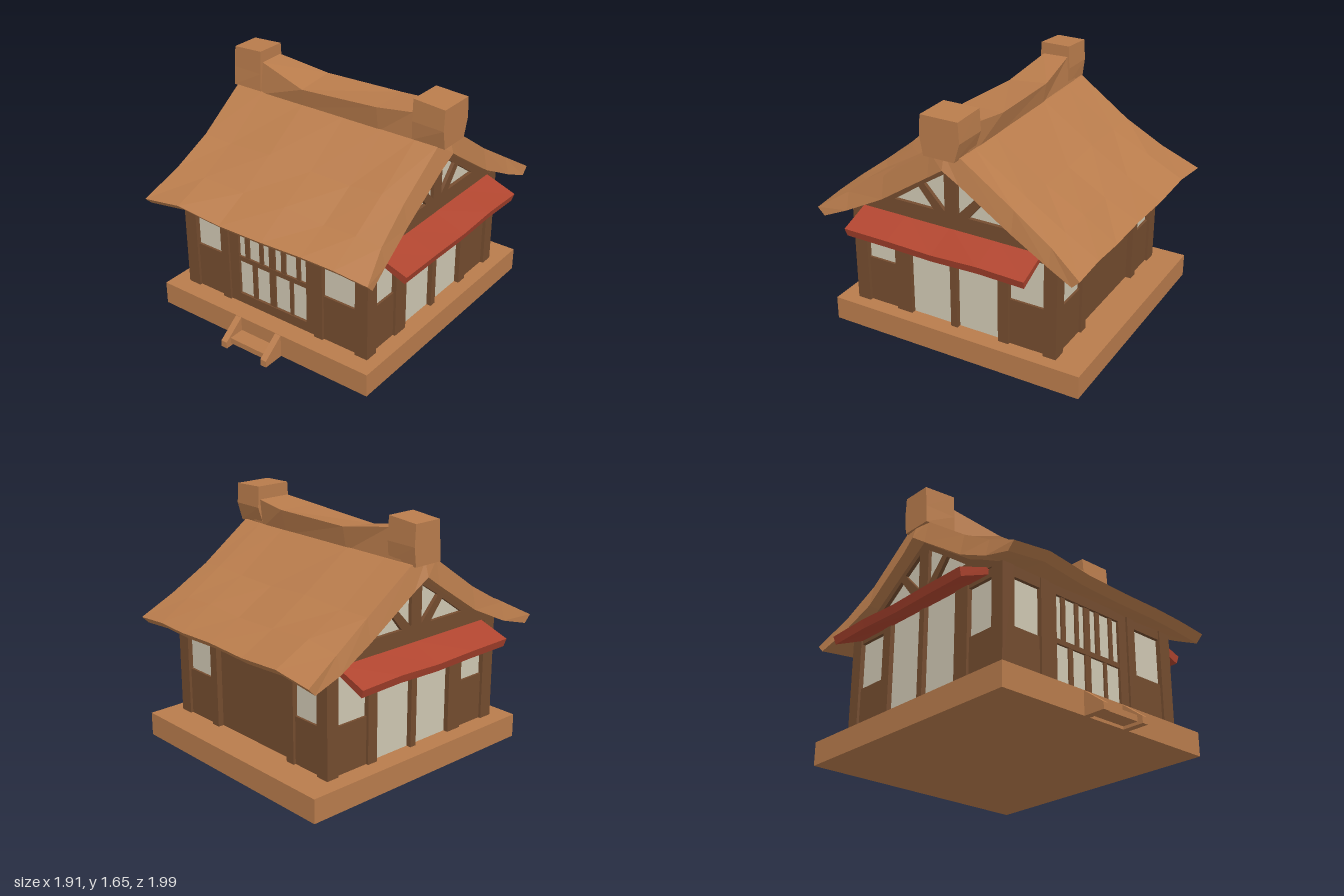
import * as THREE from 'three';

const mat = (name, color) => Object.assign(new THREE.MeshStandardMaterial({ color }), { name });

export function createModel() {
  const wood = mat('darkWood', 0x744c2f);
  const straw = mat('lightBrown', 0xb97c4c);
  const paper = mat('paper', 0xd0c8b3);
  const red = mat('redAwning', 0xb0452f);
  const model = new THREE.Group();
  model.name = 'cottage';

  const add = (name, geo, material) => {
    const mesh = new THREE.Mesh(geo, material);
    mesh.name = name;
    model.add(mesh);
    return mesh;
  };
  // Box given by its limits on each axis
  const box = (name, material, xa, xb, ya, yb, za, zb) => {
    const geo = new THREE.BoxGeometry(Math.abs(xb - xa), yb - ya, Math.abs(zb - za));
    add(name, geo.translate((xa + xb) / 2, (ya + yb) / 2, (za + zb) / 2), material);
  };
  // Faceted solid through loops ordered by rising x; each loop runs over the top to the back, then returns below
  const loft = (name, material, loops) => {
    const pos = [];
    const quad = (a, b, c, d) => [a, b, c, a, c, d].forEach(p => pos.push(...p));
    const m = loops[0].length, last = loops[loops.length - 1], first = loops[0];
    for (let i = 0; i < loops.length - 1; i++) {
      for (let j = 0; j < m; j++) {
        const k = (j + 1) % m;
        quad(loops[i][j], loops[i + 1][j], loops[i + 1][k], loops[i][k]);
      }
    }
    for (let j = 0; j < m / 2 - 1; j++) {
      quad(last[j], last[m - 1 - j], last[m - 2 - j], last[j + 1]);
      quad(first[j], first[j + 1], first[m - 2 - j], first[m - 1 - j]);
    }
    const geo = new THREE.BufferGeometry();
    geo.setAttribute('position', new THREE.Float32BufferAttribute(pos, 3));
    geo.computeVertexNormals();
    add(name, geo, material);
  };
  const polygon = pts => pts.map(p => new THREE.Vector2(...p));
  // Outline in (z, y) extruded along x, ending at xMax
  const slab = (name, material, pts, xMax, depth, holes = []) => {
    const shape = new THREE.Shape(polygon(pts));
    holes.forEach(h => shape.holes.push(new THREE.Path(polygon(h))));
    const geo = new THREE.ExtrudeGeometry(shape, { depth, bevelEnabled: false });
    add(name, geo.rotateY(-Math.PI / 2).translate(xMax, 0, 0), material);
  };

  // Platform and front step
  box('platform', straw, -0.85, 0.83, 0, 0.16, -0.95, 0.85);
  const rail = [[0.85, 0], [1, 0], [1, 0.045], [0.85, 0.158]];
  slab('stepRail', straw, rail, -0.17, 0.045);
  slab('stepRail', straw, rail, 0.16, 0.045);
  box('stepTread', straw, -0.17, 0.115, 0.02, 0.06, 0.85, 0.96);

  // Wall core and corner posts
  box('wallCore', wood, -0.7, 0.7, 0.16, 0.87, -0.71, 0.69);
  for (const [xa, xb] of [[-0.74, -0.645], [0.65, 0.745]]) {
    box('cornerPost', wood, xa, xb, 0.16, 0.87, 0.635, 0.73);
    box('cornerPost', wood, xa, xb, 0.16, 0.87, -0.75, -0.66);
  }

  // Front and back walls: posts, lower panels, windows, lintel
  for (const [s, face] of [[1, 0.69], [-1, -0.71]]) {
    const at = d => face + s * d;
    for (const [xa, xb] of [[-0.43, -0.365], [0.335, 0.4]])
      box('wallPost', wood, xa, xb, 0.16, 0.87, face, at(0.04));
    for (const [xa, xb] of [[-0.645, -0.43], [0.4, 0.65]]) {
      box('lowerPanel', wood, xa, xb, 0.16, 0.48, face, at(0.022));
      box('window', paper, xa, xb, 0.48, 0.8, face, at(0.006));
      box('lintel', wood, xa, xb, 0.795, 0.87, face, at(0.03));
    }
  }

  // Lattice doors on the front
  box('doorPaper', paper, -0.29, 0.265, 0.23, 0.81, 0.69, 0.696);
  box('doorSill', wood, -0.365, 0.335, 0.16, 0.23, 0.69, 0.715);
  box('doorHead', wood, -0.365, 0.335, 0.805, 0.87, 0.69, 0.715);
  box('doorJamb', wood, -0.365, -0.29, 0.23, 0.81, 0.69, 0.715);
  box('doorJamb', wood, 0.265, 0.335, 0.23, 0.81, 0.69, 0.715);
  box('doorRail', wood, -0.29, 0.265, 0.482, 0.515, 0.69, 0.711);
  for (const [xa, xb] of [[-0.24, -0.205], [-0.12, -0.09], [-0.04, 0.008], [0.06, 0.095], [0.183, 0.213]])
    box('upperBar', wood, xa, xb, 0.51, 0.81, 0.69, 0.708);
  for (const [xa, xb] of [[-0.182, -0.147], [-0.04, 0.008], [0.126, 0.152]])
    box('lowerBar', wood, xa, xb, 0.23, 0.485, 0.69, 0.708);

  // Side walls, gables and awnings
  const gable = [[0.72, 0.86], [0.46, 1.02], [-0.01, 1.33], [-0.48, 1.02], [-0.74, 0.86]];
  const mirrorZ = pts => pts.map(([z, y]) => [-0.03 - z, y]);
  const outerPane = [[0.4, 0.97], [0.215, 1.1], [0.11, 0.97]];
  const innerPane = [[0.03, 1.225], [0.175, 1.13], [0.03, 0.975]];
  const panes = [outerPane, innerPane, mirrorZ(outerPane), mirrorZ(innerPane)];
  for (const s of [-1, 1]) {
    const face = s * 0.7;
    for (const [za, zb] of [[0.305, 0.42], [-0.042, 0.005], [-0.415, -0.34]])
      box('sidePost', wood, face, s * 0.74, 0.16, 0.87, za, zb);
    for (const [za, zb] of [[0.42, 0.635], [-0.66, -0.415]]) {
      box('sidePanel', wood, face, s * 0.722, 0.16, 0.48, za, zb);
      box('sideWindow', paper, face, s * 0.706, 0.48, 0.8, za, zb);
      box('sideLintel', wood, face, s * 0.73, 0.8, 0.87, za, zb);
    }
    for (const [za, zb] of [[0.005, 0.305], [-0.34, -0.042]])
      box('sideDoor', paper, face, s * 0.706, 0.16, 0.85, za, zb);
    slab('gablePaper', paper, gable, s > 0 ? 0.715 : -0.706, 0.009);
    slab('gableFrame', wood, gable, s > 0 ? 0.74 : -0.715, 0.025, panes);

    const [zf, zb] = s > 0 ? [0.64, -0.64] : [0.6, -0.67];
    const strip = (xTop, yTop, xLow, yLow, wave) => {
      const top = [], low = [];
      for (let i = 0; i <= 4; i++) {
        const z = zf + (zb - zf) * i / 4, w = wave * Math.sin(i * 2.3 + 0.6);
        top.push([s * xTop, yTop + w, z]);
        low.unshift([s * xLow, yLow + w * 0.8, z * 0.99]);
      }
      return [...top, ...low];
    };
    const loops = [strip(0.72, 0.875, 0.72, 0.83, 0), strip(0.955, 0.79, 0.938, 0.737, 0.007)];
    loft('awning', red, s > 0 ? loops : loops.reverse());
  }

  // Thatched roof: sagging, flared slopes with uneven eaves
  const topLine = [[0.955, 0.875], [0.72, 0.995], [0.46, 1.14], [0.11, 1.385], [0, 1.4]];
  const lowLine = [[0.905, 0.825], [0.72, 0.875], [0.46, 0.99], [0.11, 1.225], [0, 1.3]];
  const both = half => [...half, ...half.slice(0, 4).reverse().map(([z, y]) => [-z, y])];
  const stations = [-1, -0.72, -0.3, 0.12, 0.5, 0.8, 1];
  const eaveLift = [-0.02, 0.012, 0, -0.015, -0.02, -0.005, -0.035];
  const flare = [0.075, 0.025, 0, 0.005, 0.015];
  const roofLoops = stations.map((u, i) => {
    const end = Math.abs(u) === 1;
    const point = low => ([z, y], j) => {
      const k = Math.min(j, 8 - j), out = Math.max(0, 1 - k / 2);
      const spread = end ? flare[k] + (low && k > 0 ? 0.03 : 0) : 0;
      const bump = k < 3 && !end ? 0.012 * Math.sin(i * 2.1 + j * 1.7) : 0;
      return [u * (0.79 + spread) + (k === 0 && end ? 0.006 : 0),
        y + eaveLift[i] * out + bump,
        z - 0.02 + (k === 0 ? -0.022 * u * Math.sign(z) * (z > 0 ? 1 : 0.9) : 0)];
    };
    return [...both(topLine).map(point(false)), ...both(lowLine).map(point(true)).reverse()];
  });
  loft('thatchRoof', straw, roofLoops);

  // Ridge cap: x, front z, back z, front top y, back top y
  const ridge = [[-0.7, 0.07, -0.11, 1.59, 1.59], [-0.59, 0.07, -0.11, 1.575, 1.58],
    [-0.22, 0.125, -0.15, 1.495, 1.522], [0.36, 0.125, -0.165, 1.53, 1.53],
    [0.61, 0.1, -0.14, 1.555, 1.555], [0.7, 0.1, -0.14, 1.56, 1.56]];
  loft('ridgeCap', straw, ridge.map(([x, f, b, yf, yb]) =>
    [[x, yf, f], [x, yb, b], [x, 1.36, -0.12], [x, 1.36, 0.1]]));

  // Ridge end blocks, narrowing towards the roof
  const block = (x, y, f, b) =>
    [[x, y, f], [x, y, b], [x, 1.5, b - 0.008], [x, 1.375, -0.115], [x, 1.375, 0.1], [x, 1.5, f + 0.008]];
  loft('ridgeEnd', straw, [block(-0.82, 1.64, 0.08, -0.122), block(-0.592, 1.655, 0.088, -0.118)]);
  loft('ridgeEnd', straw, [block(0.612, 1.645, 0.1, -0.15), block(0.845, 1.635, 0.115, -0.145)]);

  return model;
}
